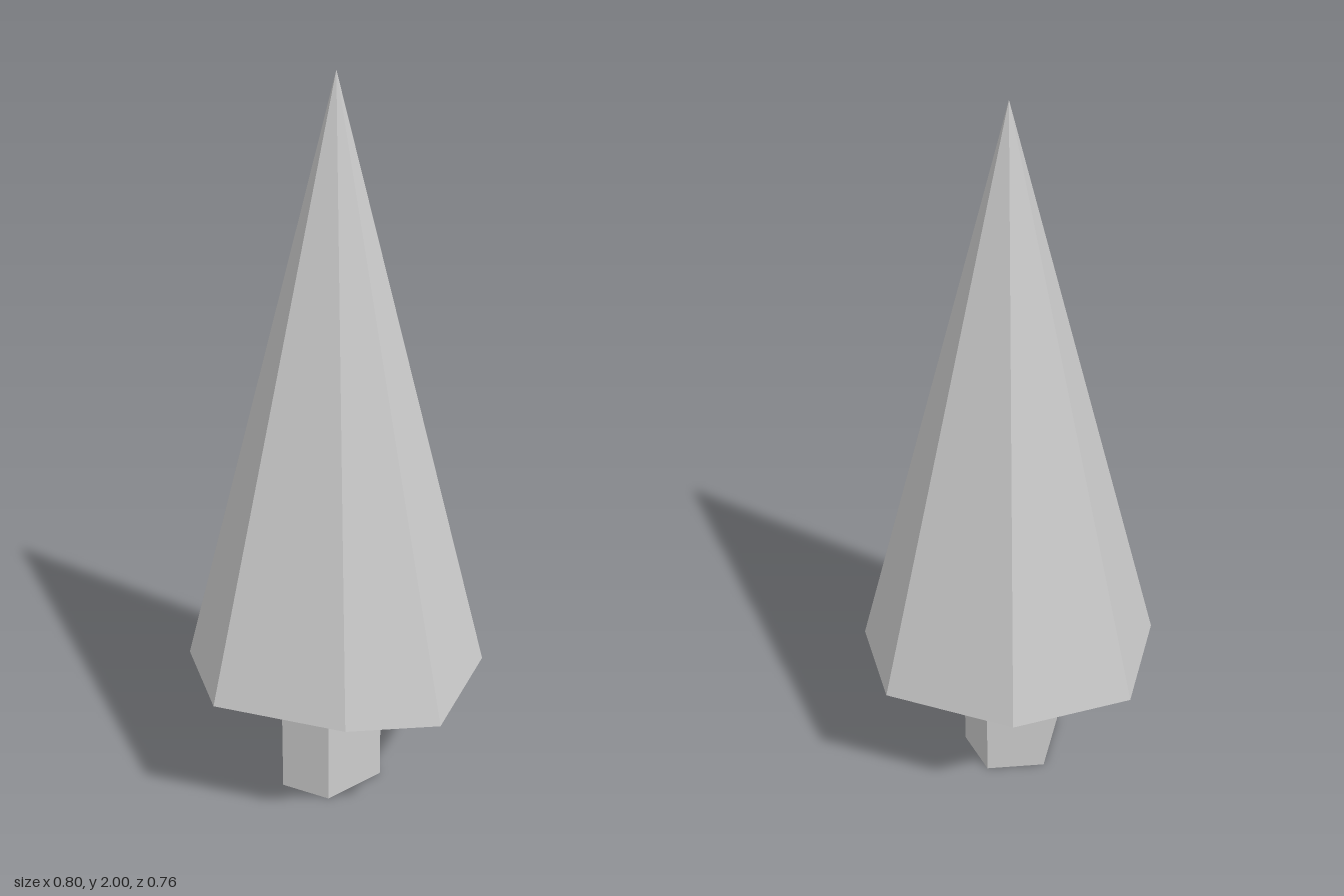
import * as THREE from 'three';
import { ConvexGeometry } from 'three/addons/geometries/ConvexGeometry.js';

// Uneven outlines as [x, z] corners
const CANOPY_RING = [
  [0, -0.383], [0.334, -0.248], [0.4, 0.017], [0.283, 0.345],
  [0.04, 0.38], [-0.308, 0.279], [-0.4, 0.017], [-0.315, -0.287],
];
const TRUNK_RING = [
  [-0.015, 0.13], [0.125, 0.005], [0.064, -0.125], [-0.097, -0.114], [-0.145, 0.072],
];

const ringAt = (ring, y) => ring.map(([x, z]) => new THREE.Vector3(x, y, z));

export function createModel() {
  const tree = new THREE.Group();
  tree.name = 'tree';
  const material = new THREE.MeshStandardMaterial({ color: 0xcccccc, flatShading: true });

  const addPart = (name, points) => {
    const mesh = new THREE.Mesh(new ConvexGeometry(points), material);
    mesh.name = name;
    tree.add(mesh);
  };

  // Five-sided trunk
  addPart('trunk', [...ringAt(TRUNK_RING, 0), ...ringAt(TRUNK_RING, 0.4)]);

  // Eight-sided cone of foliage with its tip slightly towards the back
  addPart('canopy', [...ringAt(CANOPY_RING, 0.4), new THREE.Vector3(0, 2, -0.031)]);

  return tree;
}
